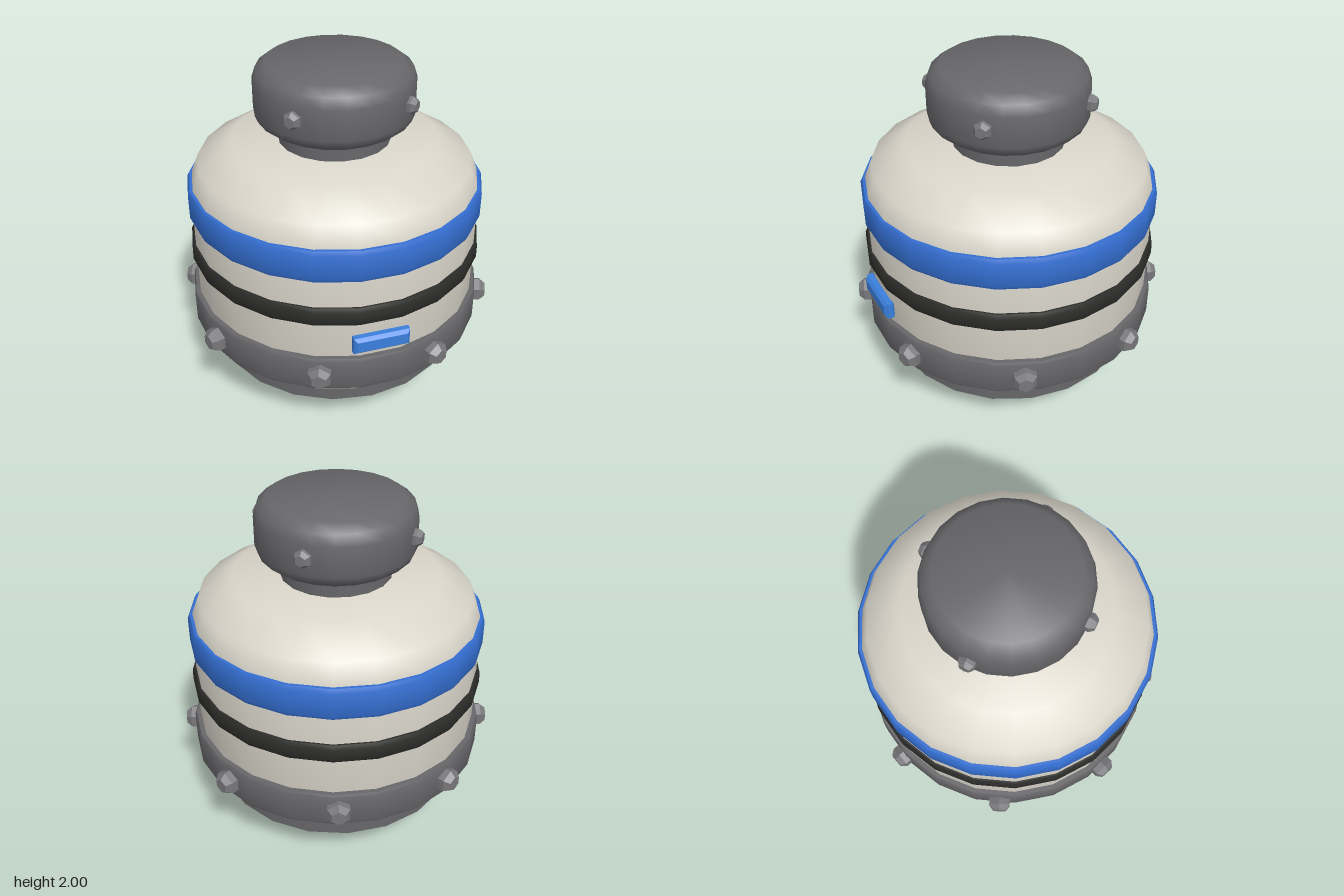
import * as THREE from 'three';
import { toCreasedNormals } from 'three/addons/utils/BufferGeometryUtils.js';

const material = (color, flatShading = false) => new THREE.MeshStandardMaterial({ color, flatShading });

export function createModel() {
  const model = new THREE.Group();
  model.name = 'canister';
  const cream = material(0xdad6cb);
  const metal = material(0x67676a);
  const rubber = material(0x2c2c2a);
  const blue = material(0x346fd2);
  const latchBlue = material(0x3a7fdc, true);
  const boltMetal = material(0x78787b, true);
  const spikeMetal = material(0x808083, true);

  function add(name, geometry, mat, parent = model) {
    const mesh = new THREE.Mesh(geometry, mat);
    mesh.name = name;
    parent.add(mesh);
    return mesh;
  }

  // Turned part from [radius, height] pairs, listed bottom to top
  function turned(points, sides) {
    const profile = points.map(([r, y]) => new THREE.Vector2(r, y));
    return toCreasedNormals(new THREE.LatheGeometry(profile, sides, Math.PI / 2), 0.8);
  }

  // Chamfered hoop with an inner wall
  function hoop(radius, inner, y0, y1, bevel) {
    return turned([
      [inner, y1], [inner, y0], [radius - bevel, y0], [radius, y0 + bevel * 2],
      [radius, y1 - bevel * 2], [radius - bevel, y1], [inner, y1],
    ], 22);
  }

  // Main shell and base
  add('body', turned([
    [0, 0.32], [0.725, 0.325], [0.8, 0.45], [0.823, 0.52], [0.823, 1.28],
    [0.81, 1.34], [0.77, 1.44], [0.58, 1.55], [0, 1.55],
  ], 22), cream);
  add('basePlate', turned([
    [0, 0.2], [0.645, 0.2], [0.72, 0.245], [0.72, 0.33], [0, 0.33],
  ], 20), metal);

  // Hoops around the shell
  add('lowerBand', hoop(0.857, 0.78, 0.445, 0.65, 0.008), metal);
  add('rubberRing', hoop(0.845, 0.79, 0.865, 0.975, 0.012), rubber);
  add('upperBand', hoop(0.841, 0.8, 1.138, 1.325, 0.012), blue);

  // Neck and cap
  add('neck', turned([[0.315, 1.54], [0.315, 1.67]], 18), metal);
  add('cap', turned([
    [0, 1.655], [0.385, 1.655], [0.43, 1.69], [0.445, 1.73], [0.445, 1.9],
    [0.425, 1.96], [0.37, 2], [0, 2],
  ], 22), metal);

  // Six-sided domed bolts, pointing outwards
  function boltRing(name, count, ringRadius, y, size, depth) {
    const ring = new THREE.Group();
    ring.name = name;
    const geometry = new THREE.LatheGeometry([
      [0, -depth], [size, -depth], [size, depth * 0.35], [size * 0.62, depth], [0, depth],
    ].map(([r, h]) => new THREE.Vector2(r, h)), 6).rotateX(Math.PI / 2);
    for (let i = 0; i < count; i++) {
      const a = ((i + 0.5) / count) * Math.PI * 2;
      const bolt = add('bolt', geometry, boltMetal, ring);
      bolt.position.set(Math.sin(a) * ringRadius, y, Math.cos(a) * ringRadius);
      bolt.rotation.y = a;
    }
    model.add(ring);
  }
  boltRing('bandBolts', 8, 0.868, 0.548, 0.071, 0.05);
  boltRing('capBolts', 4, 0.447, 1.828, 0.05, 0.04);

  // Four-sided spikes: one in the centre, six around it
  const spikes = new THREE.Group();
  spikes.name = 'spikes';
  const spikeGeometry = new THREE.LatheGeometry([
    [0, 0], [0.016, 0.012], [0.139, 0.205],
  ].map(([r, y]) => new THREE.Vector2(r, y)), 4);
  add('spike', spikeGeometry, spikeMetal, spikes);
  for (let i = 0; i < 6; i++) {
    const a = (i / 6) * Math.PI * 2;
    add('spike', spikeGeometry, spikeMetal, spikes)
      .position.set(Math.cos(a) * 0.45, 0, Math.sin(a) * 0.45);
  }
  model.add(spikes);

  // Chamfered latch on the front
  const b = 0.018, w = 0.157 - b, h = 0.05 - b;
  const plate = new THREE.Shape([[-w, -h], [w, -h], [w, h], [-w, h]].map(([x, y]) => new THREE.Vector2(x, y)));
  const latch = add('latch', new THREE.ExtrudeGeometry(plate, {
    depth: 0.03, bevelEnabled: true, bevelThickness: b, bevelSize: b, bevelSegments: 1,
  }), latchBlue);
  latch.position.set(0, 0.745, 0.815);

  model.position.z = -0.006;
  return model;
}
